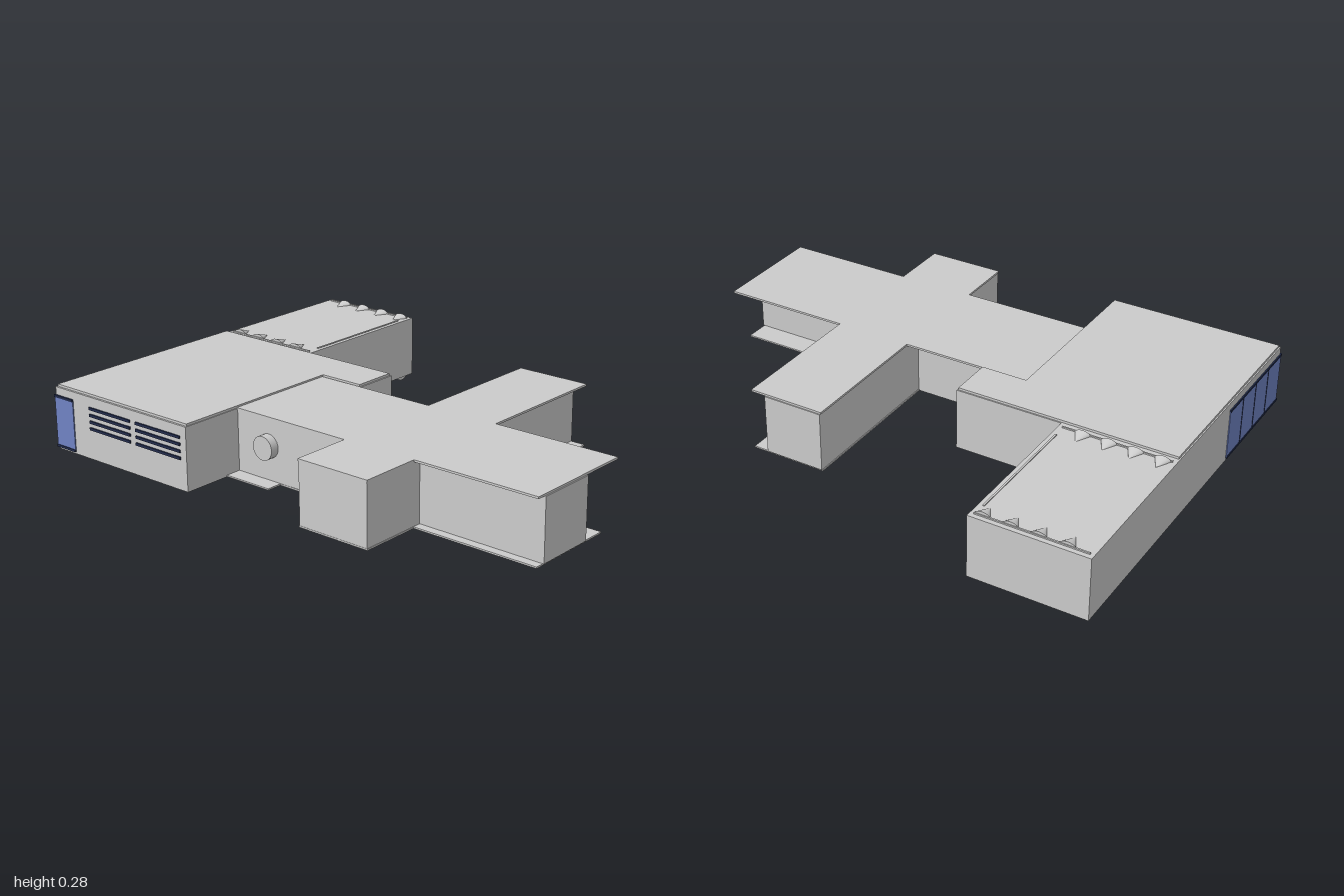
import * as THREE from 'three';

const grey = new THREE.MeshStandardMaterial({ color: 0xcccccc });
const blue = new THREE.MeshStandardMaterial({ color: 0x7083c4 });
const dark = new THREE.MeshStandardMaterial({ color: 0x222c4c });

// Levels: underside of floors, top of floors, underside of roofs, top of roofs
const Y0 = 0.02, Y1 = 0.026, Y2 = 0.256, Y3 = 0.264;

export function createModel() {
  const model = new THREE.Group();
  model.name = 'building';

  // Box from its limits on each axis
  function box(name, [x0, x1], [y0, y1], [z0, z1], material = grey) {
    const mesh = new THREE.Mesh(new THREE.BoxGeometry(x1 - x0, y1 - y0, z1 - z0), material);
    mesh.position.set((x0 + x1) / 2, (y0 + y1) / 2, (z0 + z1) / 2);
    mesh.name = name;
    model.add(mesh);
    return mesh;
  }

  // Flat slab from an outline of [x, z] corners
  function slab(name, outline, y0, y1) {
    const shape = new THREE.Shape(outline.map(([x, z]) => new THREE.Vector2(x, -z)));
    const geometry = new THREE.ExtrudeGeometry(shape, { depth: y1 - y0, bevelEnabled: false });
    geometry.rotateX(-Math.PI / 2);
    const mesh = new THREE.Mesh(geometry, grey);
    mesh.position.y = y0;
    mesh.name = name;
    model.add(mesh);
  }

  // Main hall, an L in plan, with a raised roof sheet
  slab('mainHall', [[-0.76, -0.995], [0.125, -0.995], [0.125, -0.13], [-0.14, -0.13],
    [-0.14, -0.312], [-0.76, -0.312]], Y0, 0.261);
  slab('mainRoof', [[-0.752, -0.99], [0.12, -0.99], [0.12, -0.135], [-0.05, -0.135],
    [-0.05, -0.315], [-0.752, -0.315]], 0.261, 0.27);
  box('undersidePanel', [-0.7, -0.36], [0.017, Y0], [-0.93, -0.67]);

  // Side wing
  box('sideWing', [0.125, 0.762], [Y0, 0.261], [-0.995, -0.55]);
  box('wingRoofRail', [0.144, 0.15], [0.261, 0.266], [-0.98, -0.565]);
  box('wingRoofRail', [0.738, 0.744], [0.261, 0.266], [-0.98, -0.565]);
  box('wingRoofRail', [0.2, 0.69], [0.261, 0.264], [-0.573, -0.566]);

  // Corridor and cross arm: walls between a wide roof and a narrower floor
  box('corridorWalls', [-0.505, -0.14], [Y1, Y2], [-0.312, 0.2]);
  box('frontWalls', [-0.47, -0.235], [Y1, Y2], [0.4, 0.995]);
  box('leftArmWalls', [-0.2, 0.507], [Y1, Y2], [0.195, 0.43]);
  box('rightArmWalls', [-0.737, -0.2], [Y1, Y2], [0.195, 0.43]);
  box('rightArmFront', [-0.737, -0.47], [Y1, Y2], [0.43, 0.49]);

  const cross = (right, back) => [[-0.507, back], [right, back], [right, 0.192], [0.503, 0.192],
    [0.503, 0.49], [right, 0.49], [right, 0.99], [-0.503, 0.99], [-0.503, 0.492],
    [-0.738, 0.492], [-0.738, 0.192], [-0.507, 0.192]];
  slab('crossRoof', cross(-0.055, -0.314), Y2, Y3);
  slab('crossFloor', cross(-0.14, -0.312), Y0, Y1);

  // Ledge with a round fitting on the corridor wall
  box('ledge', [-0.568, -0.507], [Y0, Y1], [-0.312, -0.11]);
  const drum = new THREE.Mesh(new THREE.CylinderGeometry(0.045, 0.045, 0.035, 24), grey);
  drum.rotation.z = Math.PI / 2;
  drum.position.set(-0.521, 0.155, -0.163);
  drum.name = 'wallDrum';
  model.add(drum);

  // Flattened cones pointing along (dx, dz)
  const coneGeometry = new THREE.ConeGeometry(0.03, 0.055, 20).rotateX(Math.PI / 2);
  function cone(name, x, y, z, dx, dz, height) {
    const mesh = new THREE.Mesh(coneGeometry, grey);
    mesh.scale.y = height / 0.03;
    mesh.rotation.y = Math.atan2(dx, dz);
    mesh.position.set(x, y, z);
    mesh.name = name;
    model.add(mesh);
  }
  for (let i = 0; i < 4; i++) {
    cone('roofCone', 0.177, 0.261, -0.945 + i * 0.1, 1, 0, 0.016);
    cone('roofCone', 0.713, 0.261, -0.9 + i * 0.102, -1, 0, 0.016);
  }
  for (let i = 0; i < 7; i++) {
    cone('floorCone', 0.16 + i * 0.092, Y0, -0.935, 0, 1, 0.02);
    cone('floorCone', 0.16 + i * 0.092, Y0, -0.593, 0, -1, 0.02);
  }

  // Corner window band on the back, wrapping onto the right side
  box('backWindow', [-0.764, -0.3], [0.036, 0.222], [-0.998, -0.99], blue);
  box('sideWindow', [-0.764, -0.755], [0.036, 0.222], [-0.998, -0.9], blue);
  for (const y of [0.028, 0.222]) {
    box('windowTrim', [-0.767, -0.3], [y, y + 0.009], [-1, -0.99], dark);
    box('windowTrim', [-0.767, -0.755], [y, y + 0.009], [-1, -0.9], dark);
  }
  for (const x of [-0.645, -0.53, -0.415]) {
    box('windowBar', [x - 0.0015, x + 0.0015], [0.037, 0.222], [-0.9995, -0.99], dark);
  }

  // Louvres on the right side
  for (const z of [[-0.81, -0.595], [-0.565, -0.34]]) {
    for (let i = 0; i < 4; i++) {
      const y = 0.135 + i * 0.026;
      box('louvre', [-0.766, -0.755], [y, y + 0.01], z, dark);
    }
  }
  return model;
}
